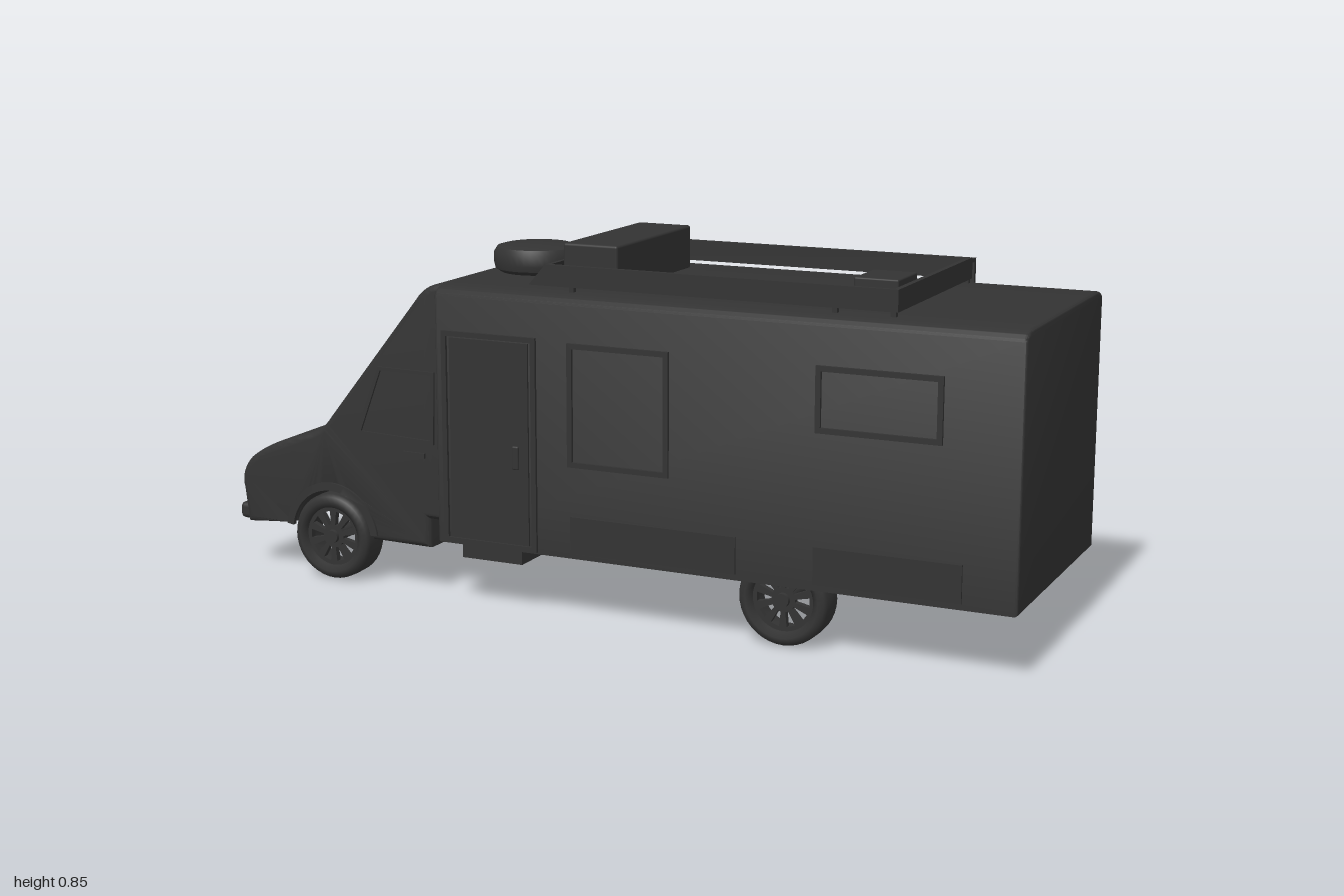
import * as THREE from 'three';
import { toCreasedNormals } from 'three/addons/utils/BufferGeometryUtils.js';
import { RoundedBoxGeometry } from 'three/addons/geometries/RoundedBoxGeometry.js';

const ZC = 0.01; // centre line of the vehicle

export function createModel() {
  const root = new THREE.Group();
  root.name = 'camperVan';
  const paint = new THREE.MeshStandardMaterial({ color: 0x333333 });

  const add = (name, geo, x = 0, y = 0, z = 0, parent = root) => {
    const m = new THREE.Mesh(geo, paint);
    m.name = name;
    m.position.set(x, y, z);
    parent.add(m);
    return m;
  };
  // Box given by its limits
  const box = (name, x0, x1, y0, y1, z0, z1, r = 0) => {
    const s = [x1 - x0, y1 - y0, z1 - z0];
    const g = r ? new RoundedBoxGeometry(...s, 3, r) : new THREE.BoxGeometry(...s);
    return add(name, g, (x0 + x1) / 2, (y0 + y1) / 2, (z0 + z1) / 2);
  };
  const tube = (name, pts, r) => {
    const path = new THREE.CurvePath();
    const v = pts.map((p) => new THREE.Vector3(...p));
    for (let i = 1; i < v.length; i++) path.add(new THREE.LineCurve3(v[i - 1], v[i]));
    return add(name, new THREE.TubeGeometry(path, 24, r, 8, false));
  };
  const polygon = (pts) => new THREE.Shape(pts.map((p) => new THREE.Vector2(...p)));
  const rect = (x0, x1, y0, y1) => [[x0, y0], [x1, y0], [x1, y1], [x0, y1]];
  const extrude = (shape, depth, opts = {}) => {
    const g = new THREE.ExtrudeGeometry(shape, { depth, bevelEnabled: false, curveSegments: 20, ...opts });
    return g.translate(0, 0, -depth / 2);
  };

  // Living box with a slightly crowned roof
  const section = new THREE.Shape();
  section.moveTo(-0.295, 0.155);
  section.lineTo(0.295, 0.155);
  section.lineTo(0.295, 0.722);
  section.quadraticCurveTo(0.292, 0.736, 0.25, 0.738);
  section.lineTo(-0.25, 0.738);
  section.quadraticCurveTo(-0.292, 0.736, -0.295, 0.722);
  const bodyGeo = extrude(section, 1.361, { bevelEnabled: true, bevelSize: 0.007, bevelThickness: 0.007, bevelSegments: 3 });
  bodyGeo.rotateY(Math.PI / 2);
  add('livingBox', toCreasedNormals(bodyGeo, 0.6), 0.3125, 0, ZC);

  // Cab narrows to the nose and a little to the roof
  const HALF = 0.25;
  const taperCab = (geo) => {
    const p = geo.attributes.position;
    for (let i = 0; i < p.count; i++) {
      const fx = 0.91 + 0.1 * (p.getX(i) + 0.97) / 0.6;
      const fy = 1 - 0.09 * Math.max(0, p.getY(i) - 0.2) / 0.54;
      p.setZ(i, p.getZ(i) * fx * fy);
    }
    return toCreasedNormals(geo, 0.6);
  };
  const cab = new THREE.Shape();
  cab.moveTo(-0.945, 0.125);
  cab.lineTo(-0.82, 0.125);
  cab.absarc(-0.705, 0.105, 0.125, 3.0, 0.16, true);
  cab.lineTo(-0.445, 0.125);
  cab.lineTo(-0.445, 0.195);
  cab.lineTo(-0.36, 0.195);
  cab.lineTo(-0.36, 0.723);
  cab.lineTo(-0.405, 0.72);
  cab.quadraticCurveTo(-0.44, 0.715, -0.46, 0.685);
  cab.lineTo(-0.70, 0.385);
  cab.quadraticCurveTo(-0.72, 0.355, -0.76, 0.338);
  cab.quadraticCurveTo(-0.88, 0.305, -0.935, 0.262);
  cab.quadraticCurveTo(-0.965, 0.23, -0.955, 0.2);
  add('cab', taperCab(extrude(cab, HALF * 2 - 0.03, {
    bevelEnabled: true, bevelSize: 0.015, bevelThickness: 0.015, bevelSegments: 4,
  })), 0, 0, ZC);

  // Cab trim follows the same taper on both sides
  const outline = (pts, k) => {
    const cx = pts.reduce((s, p) => s + p[0], 0) / pts.length;
    const cy = pts.reduce((s, p) => s + p[1], 0) / pts.length;
    const shape = polygon(pts);
    shape.holes.push(polygon(pts.map(([x, y]) => [cx + (x - cx) * k, cy + (y - cy) * k])));
    return shape;
  };
  const windowPts = [[-0.63, 0.365], [-0.415, 0.36], [-0.415, 0.53], [-0.57, 0.53]];
  const arch = new THREE.Shape();
  arch.absarc(-0.705, 0.105, 0.132, 0.14, 3.0, false);
  arch.absarc(-0.705, 0.105, 0.113, 3.0, 0.14, true);
  const trims = {
    cabWindowFrame: outline(windowPts, 0.9),
    cabDoorHandle: polygon(rect(-0.5, -0.44, 0.325, 0.337)),
    wheelArchLip: arch,
  };
  for (const s of [1, -1]) {
    for (const [name, shape] of Object.entries(trims)) {
      add(name, taperCab(extrude(shape, 0.012).translate(0, 0, s * HALF)), 0, 0, ZC);
    }
  }
  // Windscreen seams at bonnet and roof
  for (const [x, y, w] of [[-0.738, 0.359, 0.215], [-0.478, 0.682, 0.2]]) {
    tube('windscreenSeam', [[x, y, ZC - w], [x, y, ZC + w]], 0.004);
  }

  // Bumper, front guard and lamps
  box('frontBumper', -0.985, -0.94, 0.115, 0.155, ZC - 0.222, ZC + 0.222, 0.012);
  for (const z of [-0.085, 0.085]) {
    tube('guardPost', [[-0.975, 0.13, ZC + z], [-0.982, 0.25, ZC + z], [-0.955, 0.262, ZC + z]], 0.007);
  }
  for (const y of [0.195, 0.235]) {
    tube('guardBar', [[-0.982, y, ZC - 0.1], [-0.982, y, ZC + 0.1]], 0.006);
  }
  const lampGeo = new THREE.CylinderGeometry(0.019, 0.015, 0.02, 20).rotateZ(Math.PI / 2);
  for (const z of [-0.085, -0.03, 0.03, 0.085]) add('spotLamp', lampGeo, -0.99, 0.238, ZC + z);
  for (const s of [-1, 1]) box('headlamp', -0.972, -0.94, 0.19, 0.235, ZC + s * 0.16 - 0.045, ZC + s * 0.16 + 0.045, 0.008);

  // Wheels: lathed tyre and a pierced rim disc
  const tyreProfile = [[0.072, -0.035], [0.085, -0.043], [0.098, -0.038], [0.104, -0.028], [0.105, 0],
    [0.104, 0.028], [0.098, 0.038], [0.085, 0.043], [0.072, 0.035], [0.068, 0], [0.072, -0.035]];
  const tyreGeo = new THREE.LatheGeometry(tyreProfile.map((p) => new THREE.Vector2(...p)), 40).rotateX(Math.PI / 2);
  const rim = new THREE.Shape();
  rim.absarc(0, 0, 0.073, 0, Math.PI * 2, false);
  for (let i = 0; i < 10; i++) {
    const a = i * Math.PI / 5;
    const at = (r, d) => [r * Math.cos(a + d), r * Math.sin(a + d)];
    rim.holes.push(polygon([at(0.028, -0.12), at(0.062, -0.17), at(0.062, 0.17), at(0.028, 0.12)]));
  }
  const rimGeo = extrude(rim, 0.014);
  const hubGeo = new THREE.CylinderGeometry(0.015, 0.018, 0.022, 20).rotateX(Math.PI / 2);
  for (const [label, x, track] of [['front', -0.705, 0.208], ['rear', 0.465, 0.23]]) {
    for (const s of [1, -1]) {
      const wheel = new THREE.Group();
      wheel.name = label + 'Wheel';
      wheel.position.set(x, 0.105, ZC + s * track);
      if (s < 0) wheel.rotation.y = Math.PI;
      add('tyre', tyreGeo, 0, 0, 0, wheel);
      add('rim', rimGeo, 0, 0, 0.022, wheel);
      add('hub', hubGeo, 0, 0, 0.026, wheel);
      root.add(wheel);
    }
    add(label + 'Axle', new THREE.CylinderGeometry(0.016, 0.016, track * 2, 16).rotateX(Math.PI / 2), x, 0.105, ZC);
  }

  // Entrance side: door, windows, lockers, step
  const SIDE = ZC + 0.302;
  const frame = (name, x0, x1, y0, y1, z, w = 0.012) => {
    const shape = polygon(rect(x0, x1, y0, y1));
    shape.holes.push(polygon(rect(x0 + w, x1 - w, y0 + w, y1 - w)));
    add(name, extrude(shape, 0.014), 0, 0, z);
  };
  frame('entranceDoorFrame', -0.355, -0.115, 0.152, 0.645, SIDE);
  box('entranceDoor', -0.335, -0.135, 0.165, 0.63, SIDE - 0.01, SIDE + 0.005);
  box('doorHandle', -0.175, -0.158, 0.34, 0.395, SIDE, SIDE + 0.01, 0.004);
  frame('largeWindowFrame', -0.036, 0.21, 0.36, 0.64, SIDE);
  frame('rearWindowFrame', 0.55, 0.83, 0.495, 0.64, SIDE);
  for (const [x0, x1] of [[-0.03, 0.37], [0.55, 0.88]]) box('lockerDoor', x0, x1, 0.162, 0.246, SIDE - 0.01, SIDE + 0.005);
  box('entranceStep', -0.32, -0.165, 0.112, 0.16, 0.2, 0.295);
  // Window on the far side
  frame('farWindowFrame', 0.21, 0.505, 0.5, 0.64, ZC - 0.302);

  // Ladder, hooked over to the roof rack
  const LZ = -0.313;
  for (const x of [0.585, 0.69]) {
    box('ladderRail', x - 0.006, x + 0.006, 0.175, 0.792, LZ - 0.006, LZ + 0.006);
    box('ladderTopHook', x - 0.006, x + 0.006, 0.784, 0.792, LZ, -0.24);
    box('ladderFoot', x - 0.006, x + 0.006, 0.175, 0.187, LZ, -0.285);
  }
  for (let i = 0; i < 9; i++) {
    const y = 0.19 + i * 0.0742;
    box('ladderRung', 0.585, 0.69, y - 0.005, y + 0.005, LZ - 0.005, LZ + 0.005);
  }

  // Roof rack: side boards, sloped deflector, rear board and feet
  const board = polygon([[-0.157, 0.755], [0.71, 0.755], [0.71, 0.803], [-0.115, 0.803]]);
  const Z0 = -0.245, Z1 = 0.265;
  for (const z of [Z0 + 0.006, Z1 - 0.006]) {
    add('rackSideBoard', extrude(board, 0.012), 0, 0, z);
    for (const x of [-0.05, 0.57, 0.7]) box('rackFoot', x - 0.006, x + 0.006, 0.735, 0.76, z - 0.006, z + 0.006);
  }
  const deflector = polygon([[-0.157, 0.755], [-0.147, 0.755], [-0.105, 0.803], [-0.115, 0.803]]);
  add('rackDeflector', extrude(deflector, Z1 - Z0), 0, 0, ZC);
  box('rackRearBoard', 0.698, 0.71, 0.755, 0.803, Z0, Z1);

  // Roof equipment
  box('airConditioner', -0.1, 0.035, 0.742, 0.845, -0.19, 0.207, 0.006);
  box('roofVent', 0.59, 0.69, 0.742, 0.814, 0.085, 0.207, 0.004);
  const dome = [[0, 0], [0.085, 0], [0.1, 0.01], [0.103, 0.022], [0.103, 0.048], [0.095, 0.06], [0.08, 0.064], [0, 0.066]];
  add('antennaDome', toCreasedNormals(new THREE.LatheGeometry(dome.map((p) => new THREE.Vector2(...p)), 40), 0.7), -0.268, 0.744, ZC);

  return root;
}
